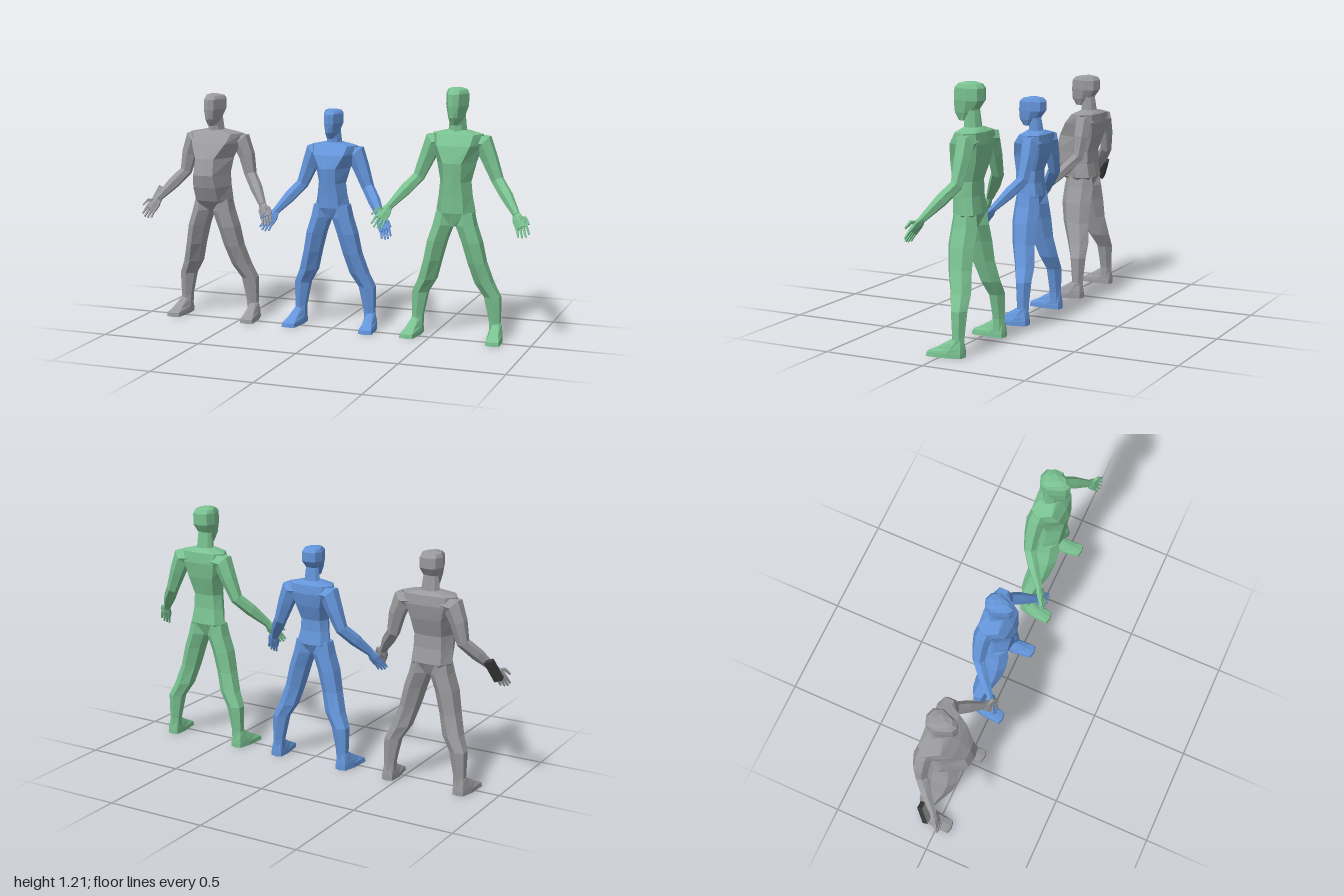
import * as THREE from 'three';

// Skin a stack of equal-length point rings into a closed, faceted shell.
function skin(rings) {
  const pos = [], n = rings[0].length;
  const tri = (a, b, c) => pos.push(...a.toArray(), ...b.toArray(), ...c.toArray());
  for (let i = 0; i < rings.length - 1; i++) {
    for (let j = 0; j < n; j++) {
      const k = (j + 1) % n;
      tri(rings[i][j], rings[i][k], rings[i + 1][k]);
      tri(rings[i][j], rings[i + 1][k], rings[i + 1][j]);
    }
  }
  const first = rings[0], last = rings[rings.length - 1];
  for (let j = 1; j < n - 1; j++) {
    tri(first[0], first[j + 1], first[j]);
    tri(last[0], last[j], last[j + 1]);
  }
  const g = new THREE.BufferGeometry();
  g.setAttribute('position', new THREE.Float32BufferAttribute(pos, 3));
  g.computeVertexNormals();
  return g;
}

// Body ring: side width w, front plate half width f, front and back depth, corner inset.
function bodyRing([y, w, f, zf, zb], inset = 0.008, cx = 0, toeOut = 0) {
  const zm = zf * 0.4 + zb * 0.6;
  return [[w, zm], [w * 0.72, zb + inset], [0, zb], [-w * 0.72, zb + inset],
    [-w, zm], [-f, zf - inset], [0, zf], [f, zf - inset]]
    .map(([x, z]) => new THREE.Vector3(cx + x + toeOut * (z + 0.07), y, z));
}

// Limb sections [x, y, z, radius across, radius deep], level or square to the path.
function limb(sections, sides, level = false) {
  const c = sections.map(s => new THREE.Vector3(s[0], s[1], s[2]));
  return skin(sections.map((s, i) => {
    const t = level ? new THREE.Vector3(0, 1, 0)
      : c[Math.min(i + 1, c.length - 1)].clone().sub(c[Math.max(i - 1, 0)]).normalize();
    const u = level ? new THREE.Vector3(1, 0, 0)
      : new THREE.Vector3(0, 0, 1).cross(t).normalize();
    const v = t.clone().cross(u);
    if (level) v.set(0, 0, -1);
    return Array.from({ length: sides }, (_, j) => {
      const a = (j + 0.5) / sides * Math.PI * 2;
      return c[i].clone().addScaledVector(u, Math.cos(a) * s[3]).addScaledVector(v, Math.sin(a) * s[4]);
    });
  }));
}

const CROTCH = 0.555;
const TORSO = [
  [0.555, 0.04, 0.025, 0.015, -0.065], [0.62, 0.098, 0.055, 0.036, -0.092],
  [0.7, 0.084, 0.05, 0.04, -0.08], [0.77, 0.077, 0.042, 0.046, -0.08],
  [0.86, 0.098, 0.045, 0.055, -0.107], [0.94, 0.122, 0.08, 0.037, -0.121],
  [0.993, 0.125, 0.09, 0.005, -0.116], [1.012, 0.05, 0.032, -0.01, -0.095]];
const NECK = [[1.0, 0.046, 0.028, -0.005, -0.09], [1.09, 0.038, 0.024, -0.005, -0.08]];
const HEAD = [
  [1.038, 0.026, 0.014, 0.026, -0.03], [1.075, 0.041, 0.02, 0.046, -0.07],
  [1.13, 0.056, 0.026, 0.05, -0.105], [1.185, 0.056, 0.027, 0.046, -0.105],
  [1.204, 0.048, 0.024, 0.025, -0.092], [1.213, 0.025, 0.014, -0.01, -0.06]];
const ARM = [
  [0.07, 0.955, -0.072, 0.04, 0.044], [0.122, 0.95, -0.073, 0.052, 0.046],
  [0.153, 0.875, -0.074, 0.041, 0.04], [0.195, 0.775, -0.068, 0.031, 0.031],
  [0.25, 0.712, -0.022, 0.031, 0.029], [0.313, 0.635, 0.037, 0.018, 0.018]];
const PALM = [[0.31, 0.639, 0.034, 0.018, 0.014], [0.326, 0.612, 0.05, 0.032, 0.016],
  [0.344, 0.58, 0.066, 0.032, 0.012]];
const LEG = [
  [0.195, 0.03, -0.072, 0.03, 0.032], [0.193, 0.09, -0.072, 0.03, 0.032],
  [0.188, 0.14, -0.071, 0.036, 0.036], [0.18, 0.21, -0.07, 0.044, 0.042],
  [0.141, 0.28, -0.057, 0.049, 0.053], [0.11, 0.38, -0.037, 0.047, 0.06],
  [0.085, 0.48, -0.03, 0.051, 0.067], [0.056, 0.56, -0.03, 0.053, 0.067],
  [0.05, 0.62, -0.03, 0.045, 0.058]];
const FOOT = [
  [0, 0.038, 0.034, 0.072, -0.106], [0.02, 0.038, 0.032, 0.07, -0.106],
  [0.038, 0.035, 0.024, 0.03, -0.105], [0.08, 0.025, 0.015, -0.04, -0.1]];

function figure(name, mat, o) {
  const group = new THREE.Group();
  group.name = name;
  group.position.x = o.x;
  const add = (part, geo) => {
    const m = new THREE.Mesh(geo, mat);
    m.name = part;
    group.add(m);
  };
  const up = y => CROTCH + (y - CROTCH) * o.tall;
  const shoulder = up(1);

  // Trunk, neck and head
  add('torso', skin(TORSO.map(([y, w, f, zf, zb], i) =>
    bodyRing([up(y), w * o.wide[i], f * o.wide[i], o.belly ? o.belly[i] : zf, zb]))));
  const headRing = inset => ([y, w, f, zf, zb]) =>
    bodyRing([up(y), w * o.head, f * o.head, zf - (1 - o.head) * 0.1, zb], inset);
  add('neck', skin(NECK.map(headRing(0.012))));
  add('head', skin(HEAD.map(headRing(0.014))));

  for (const side of [1, -1]) {
    const label = side > 0 ? 'left' : 'right';
    // Arm, palm and fingers
    const reach = ([x, y, z, a, b]) => [side * x * o.arm, shoulder - (1 - y) * o.armDrop, z, a, b];
    add(label + 'Arm', limb(ARM.map(([x, ...rest], i) =>
      reach([x + (i < 3 ? o.shoulderOut : 0), ...rest])), 6));
    add(label + 'Palm', limb(PALM.map(reach), 6));
    for (let i = 0; i < 4; i++) {
      const d = (i - 1.5) * 0.014, len = [0.8, 0.95, 1, 0.85][i];
      add(label + 'Finger', limb([
        [0.342 + d, 0.588 + d * 0.45, 0.063, 0.008, 0.008],
        [0.342 + d * 1.2 + 0.021 * len, 0.588 + d * 0.5 - 0.05 * len, 0.063 + 0.024 * len, 0.005, 0.005]].map(reach), 4));
    }
    add(label + 'Thumb', limb([[0.325, 0.622, 0.045, 0.013, 0.012],
      [0.36, 0.628, 0.065, 0.01, 0.009], [0.383, 0.602, 0.082, 0.005, 0.005]].map(reach), 4));

    // Leg and foot
    add(label + 'Leg', limb(LEG.map(([x, y, z, a, b], i) => {
      const push = o.thigh * [0, 0, 0, 0.1, 0.4, 0.8, 1, 1, 0.9][i];
      return [side * x * o.leg, y, z + push, a, b + push];
    }), 6, true));
    add(label + 'Foot', skin(FOOT.map(r => bodyRing(r, 0.008, side * 0.2 * o.leg, side * 0.1))));
  }
  return group;
}

export function createModel() {
  const paint = (name, color) => {
    const m = new THREE.MeshStandardMaterial({ color, flatShading: true });
    m.name = name;
    return m;
  };
  const grey = paint('grey', 0x9a9a9e), blue = paint('blue', 0x6495da);
  const green = paint('green', 0x7ac291), dark = paint('dark grey', 0x38383a);

  const model = new THREE.Group();
  model.name = 'threeFigures';
  const heavy = figure('heavyFigure', grey, {
    x: -0.644, tall: 0.89, head: 1, arm: 0.92, armDrop: 0.95, leg: 0.95, thigh: 0.014, shoulderOut: 0.018,
    wide: [1, 1.06, 1.18, 1.24, 1.1, 1.12, 1.16, 1.1],
    belly: [0.03, 0.078, 0.11, 0.125, 0.104, 0.055, 0.012, -0.01],
  });
  model.add(heavy,
    figure('shortFigure', blue, {
      x: -0.013, tall: 0.81, head: 0.9, arm: 0.88, armDrop: 0.93, leg: 0.94, thigh: 0, shoulderOut: 0,
      wide: [1, 0.92, 0.92, 0.92, 0.92, 0.95, 0.95, 0.95],
    }),
    figure('tallFigure', green, {
      x: 0.612, tall: 1, head: 1, arm: 1, armDrop: 1, leg: 1, thigh: 0, shoulderOut: 0,
      wide: Array(8).fill(1),
    }));

  // Forearm guard lying along the heavy figure's right forearm, dark except for its front face
  const guard = new THREE.Mesh(new THREE.BoxGeometry(0.042, 0.11, 0.026), [dark, dark, dark, dark, grey, dark]);
  guard.name = 'forearmGuard';
  guard.position.set(-0.306, 0.606, 0);
  guard.rotation.set(-0.35, 0.15, -0.35);
  heavy.add(guard);
  return model;
}
